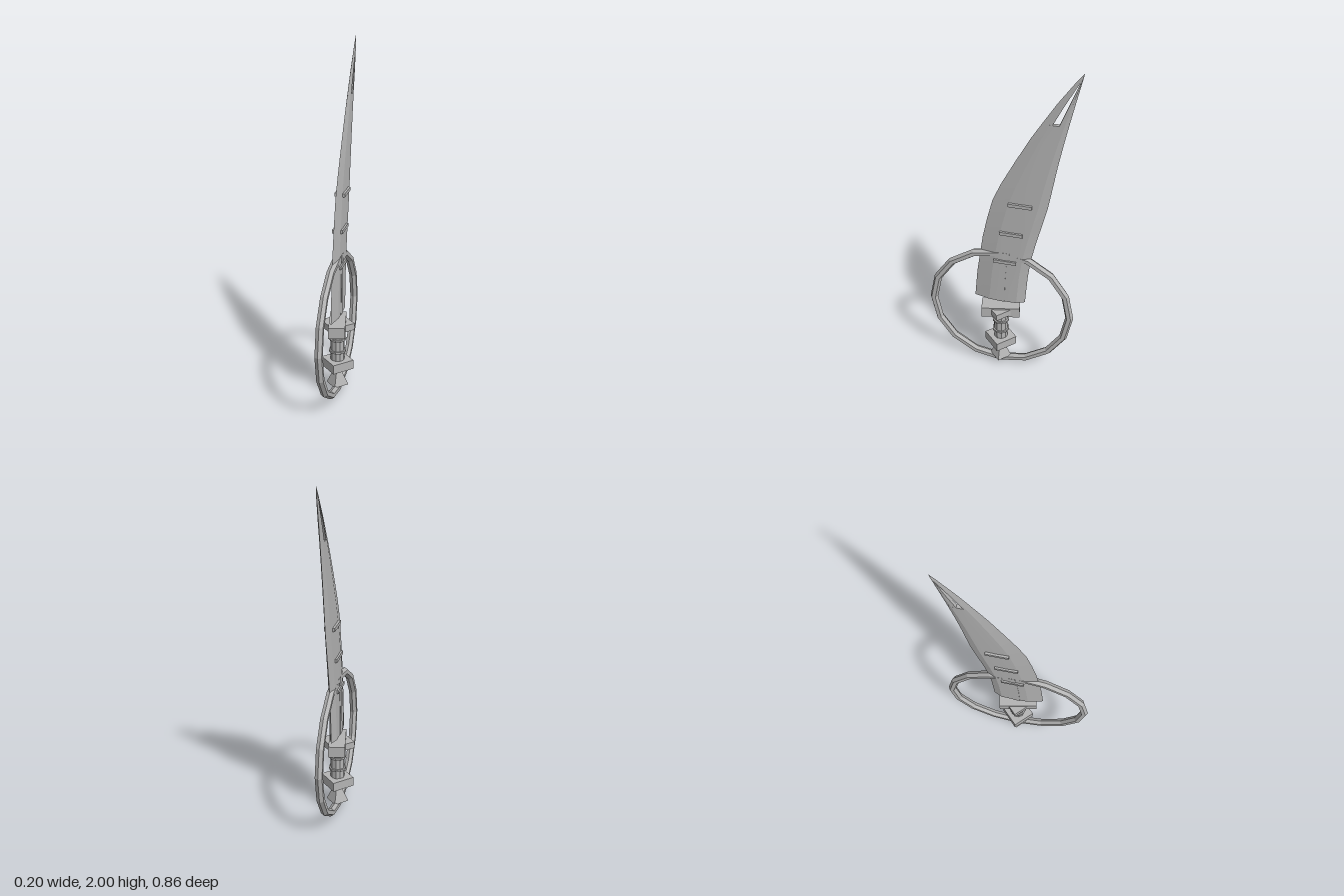
import * as THREE from 'three';
import { toCreasedNormals } from 'three/addons/utils/BufferGeometryUtils.js';

// Loft along y. rows: [y, zFront, zBack, halfThickness]; profile: [fraction front to back, thickness factor]
function loft(rows, profile) {
  const section = [
    ...profile.map(([f, w]) => [f, w]),
    ...[...profile].reverse().filter(([, w]) => w > 0).map(([f, w]) => [f, -w]),
  ];
  const n = section.length;
  const pos = [];
  const idx = [];
  for (const [y, z0, z1, t] of rows) {
    for (const [f, w] of section) pos.push(w * t, y, z0 + (z1 - z0) * f);
  }
  for (let r = 0; r < rows.length - 1; r++) {
    for (let i = 0; i < n; i++) {
      const a = r * n + i;
      const b = r * n + (i + 1) % n;
      idx.push(a, b, b + n, a, b + n, a + n);
    }
  }
  const top = (rows.length - 1) * n;
  for (let i = 1; i < n - 1; i++) idx.push(0, i + 1, i, top, top + i, top + i + 1);
  const g = new THREE.BufferGeometry();
  g.setAttribute('position', new THREE.Float32BufferAttribute(pos, 3));
  g.setIndex(idx);
  return toCreasedNormals(g, 0.12);
}

export function createModel() {
  const model = new THREE.Group();
  model.name = 'ringedSword';
  const steel = new THREE.MeshStandardMaterial({ color: 0xb4b4b4 });
  steel.name = 'steel';

  const add = (name, geometry, x = 0, y = 0, z = 0, turn = 0) => {
    const mesh = new THREE.Mesh(geometry, steel);
    mesh.name = name;
    mesh.position.set(x, y, z);
    mesh.rotation.y = turn;
    model.add(mesh);
    return mesh;
  };
  const flat = (g) => toCreasedNormals(g, 0.1);

  // Curved blade body, bevelled to both edges
  add('blade', loft([
    [0.495, 0.153, -0.143, 0.023],
    [0.68, 0.138, -0.156, 0.022],
    [0.8, 0.122, -0.17, 0.0215],
    [0.93, 0.104, -0.197, 0.0205],
    [1.06, 0.078, -0.228, 0.0195],
    [1.19, 0.046, -0.258, 0.018],
    [1.3, 0, -0.276, 0.0165],
    [1.45, -0.075, -0.3, 0.0145],
    [1.6, -0.153, -0.328, 0.012],
    [1.7, -0.212, -0.348, 0.0105],
  ], [[0, 0], [0.3, 0.9], [0.5, 1], [0.84, 0.88], [1, 0]]));

  // Two prongs enclosing the slot, joined at the point
  add('frontProng', loft([
    [1.7, -0.212, -0.266, 0.0098],
    [1.82, -0.284, -0.324, 0.008],
    [1.96, -0.379, -0.398, 0.004],
    [2, -0.41, -0.411, 0.0005],
  ], [[0, 0], [0.75, 0.9], [1, 1]]));
  add('rearProng', loft([
    [1.7, -0.3, -0.348, 0.0098],
    [1.82, -0.345, -0.373, 0.008],
    [1.96, -0.397, -0.403, 0.004],
    [2, -0.41, -0.411, 0.0005],
  ], [[0, 1], [0.55, 0.9], [1, 0]]));

  // Raised rib in the lower blade
  add('bladeRib', loft([
    [0.495, 0.016, -0.026, 0.025],
    [0.65, 0.008, -0.03, 0.024],
    [0.78, -0.004, -0.038, 0.023],
    [0.85, -0.014, -0.055, 0.022],
  ], [[0, 1], [1, 1]]));

  // Cross bars through the blade
  for (const [y, z] of [[0.79, -0.028], [0.99, -0.062], [1.187, -0.11]]) {
    add('crossBar', new THREE.BoxGeometry(0.06, 0.02, 0.13), 0, y, z);
  }

  // Large hand ring, passing through the blade
  const ring = new THREE.TorusGeometry(0.407, 0.023, 6, 16);
  ring.rotateY(Math.PI / 2);
  add('handRing', flat(ring), 0, 0.43, 0);

  // Guard: turned block over a diamond
  add('guardBlock', new THREE.BoxGeometry(0.094, 0.065, 0.222), 0, 0.423, 0, 0.2);
  add('guardDiamond', new THREE.BoxGeometry(0.1414, 0.04, 0.1414), 0, 0.425, 0, Math.PI / 4);

  // Grip with thin collars
  add('grip', flat(new THREE.CylinderGeometry(0.041, 0.041, 0.2, 10)), 0, 0.3, 0);
  for (const y of [0.265, 0.34]) {
    add('gripCollar', flat(new THREE.CylinderGeometry(0.05, 0.05, 0.012, 10)), 0, y, 0);
  }

  // Lower block and flared pommel
  add('lowerBlock', new THREE.BoxGeometry(0.134, 0.055, 0.134), 0, 0.182, 0, Math.PI / 4);
  add('pommel', flat(new THREE.CylinderGeometry(0.012, 0.065, 0.11, 4)), 0, 0.103, 0);

  return model;
}
